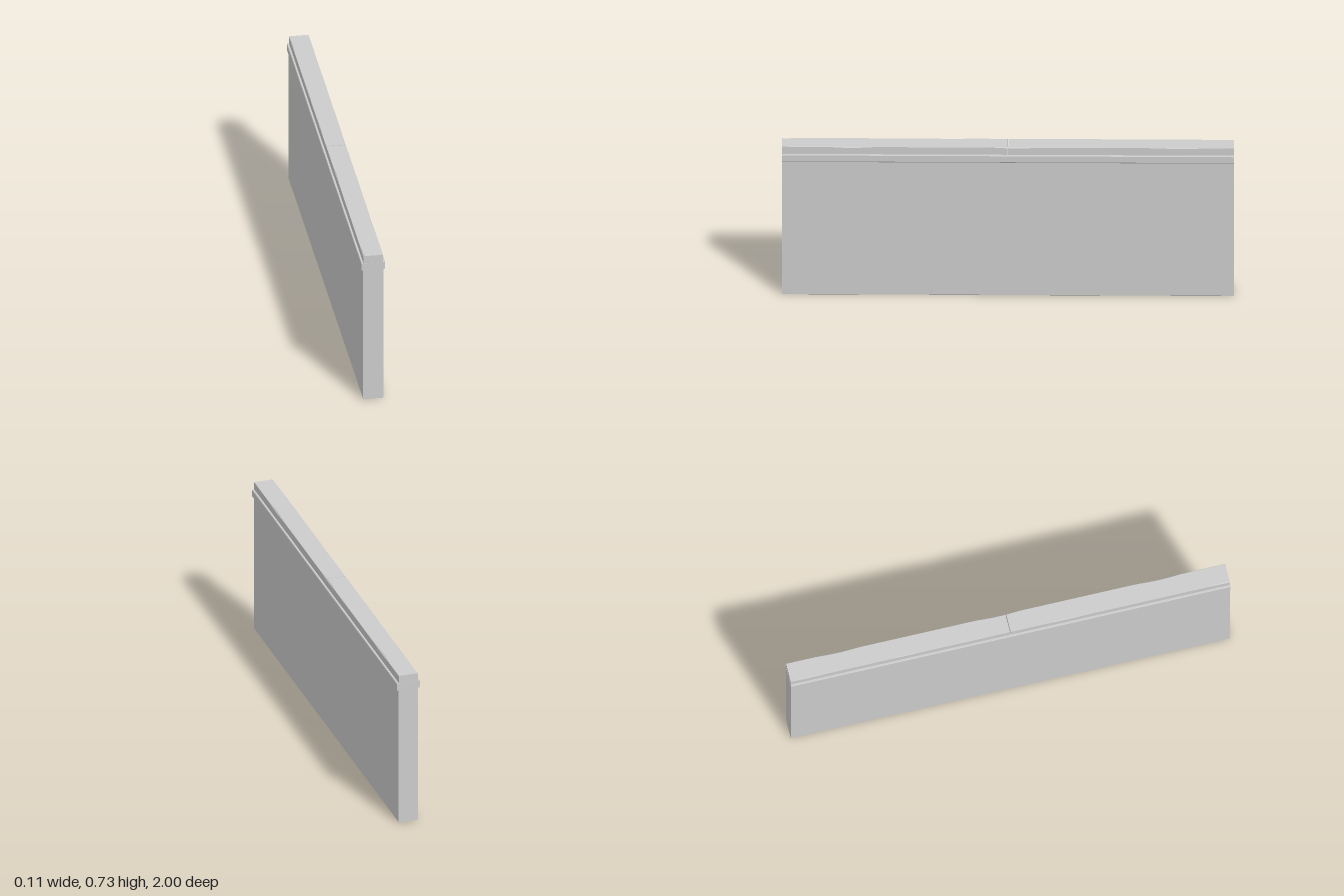
import * as THREE from 'three';

const material = new THREE.MeshStandardMaterial({ color: 0xcccccc, flatShading: true });

// Extrudes a mirrored profile (right-hand half, bottom to top) from z0 to z1.
function extrudeProfile(half, z0, z1, steps = 1) {
  const points = [
    ...half.map(([x, y]) => new THREE.Vector2(x, y)),
    ...[...half].reverse().map(([x, y]) => new THREE.Vector2(-x, y)),
  ];
  const geometry = new THREE.ExtrudeGeometry(new THREE.Shape(points), {
    depth: z1 - z0, steps, bevelEnabled: false,
  });
  return geometry.translate(0, 0, z0);
}

function addPart(group, name, geometry) {
  const mesh = new THREE.Mesh(geometry, material);
  mesh.name = name;
  group.add(mesh);
}

// Wear of an upper edge at z: nearly sharp, with a few shallow worn stretches.
function wear(z, side) {
  const wave = Math.sin(z * 9 + side * 1.7) + Math.sin(z * 17 + side * 2.3);
  return 0.001 + 0.003 * Math.max(0, wave - 0.5);
}

// One coping stone with irregularly worn long edges.
function copingStone(z0, z1) {
  const top = 0.727, halfWidth = 0.044;
  const geometry = extrudeProfile(
    [[halfWidth, 0.688], [halfWidth, top - 0.001], [halfWidth - 0.001, top]], z0, z1, 40);
  const p = geometry.attributes.position;
  for (let i = 0; i < p.count; i++) {
    const x = p.getX(i), y = p.getY(i), side = Math.sign(x);
    if (y < 0.7) continue;
    const w = wear(p.getZ(i), side);
    if (y > top - 0.0005) p.setX(i, side * (halfWidth - w));
    else p.setY(i, top - w);
  }
  geometry.computeVertexNormals();
  return geometry;
}

export function createModel() {
  const group = new THREE.Group();
  group.name = 'wall';

  // Main slab with slightly eased bottom edges
  addPart(group, 'slab', extrudeProfile([[0.043, 0], [0.045, 0.002], [0.045, 0.67]], -0.999, 0.999));

  // Projecting ledge with eased edges
  addPart(group, 'ledge', extrudeProfile(
    [[0.051, 0.655], [0.0535, 0.659], [0.0535, 0.688], [0.0515, 0.691]], -1, 1));

  // Two coping stones meeting at a narrow joint
  addPart(group, 'copingFront', copingStone(0.0015, 0.999));
  addPart(group, 'copingBack', copingStone(-0.999, -0.0015));

  return group;
}
